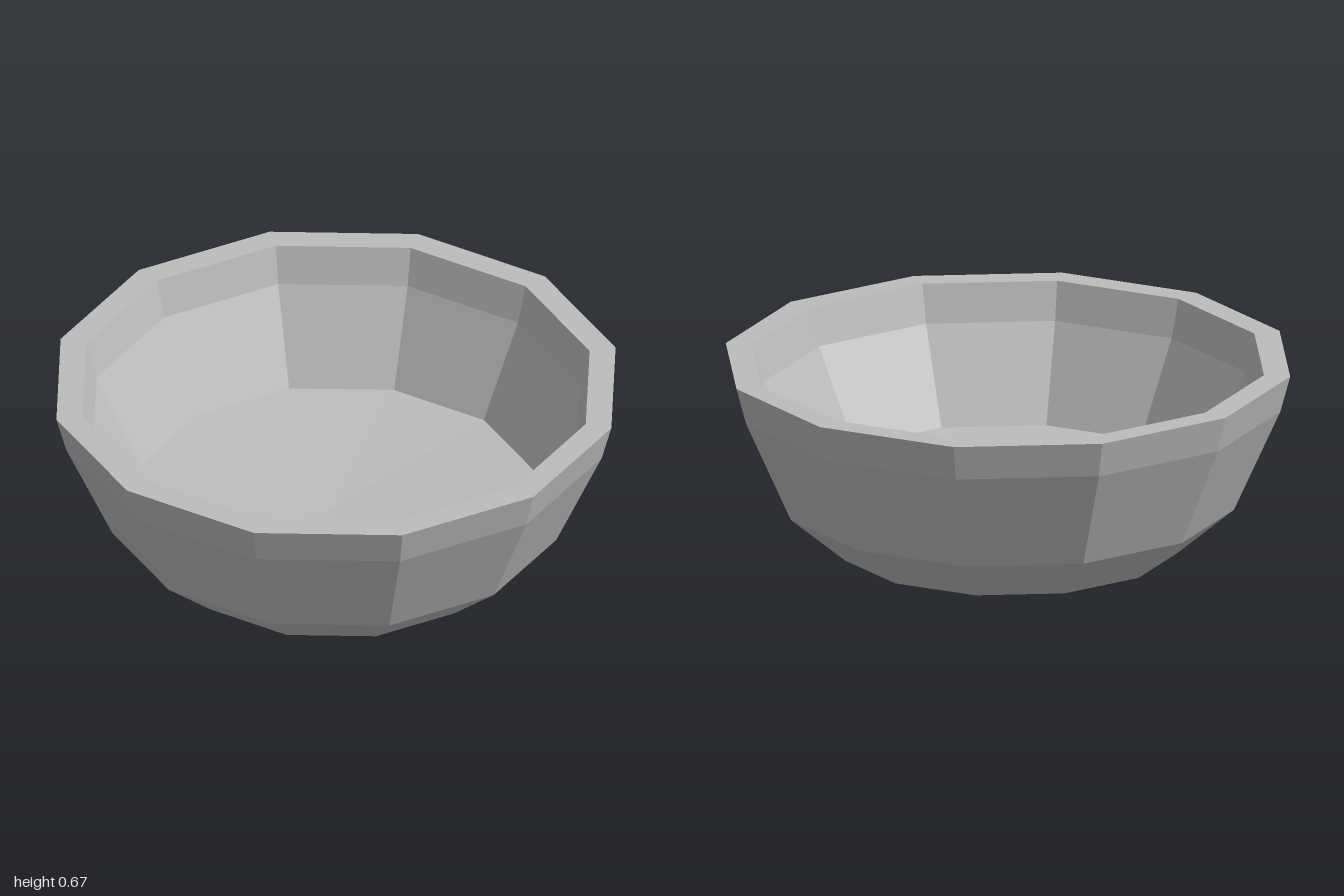
import * as THREE from 'three';

const SIDES = 12;

export function createModel() {
  const bowl = new THREE.Group();
  bowl.name = 'bowl';
  const grey = new THREE.MeshStandardMaterial({ color: 0xbcbcbc, flatShading: true });
  grey.name = 'light grey';

  // Each part is a ring of facets turned from [radius, height] points
  const turn = (name, profile) => {
    const points = profile.map(([r, y]) => new THREE.Vector2(r, y));
    const mesh = new THREE.Mesh(new THREE.LatheGeometry(points, SIDES), grey);
    mesh.name = name;
    bowl.add(mesh);
  };

  // Profiles run from the base centre, up the outside, over the rim and down inside
  turn('base', [[0, 0], [0.6, 0]]);
  turn('outerWall', [[0.6, 0], [0.8, 0.17], [0.965, 0.54], [1, 0.67]]);
  turn('rim', [[1, 0.67], [0.907, 0.67]]);
  turn('innerWall', [[0.907, 0.67], [0.87, 0.535], [0.707, 0.205]]);
  // The floor dips slightly towards its centre
  turn('innerFloor', [[0.707, 0.205], [0, 0.165]]);

  return bowl;
}
